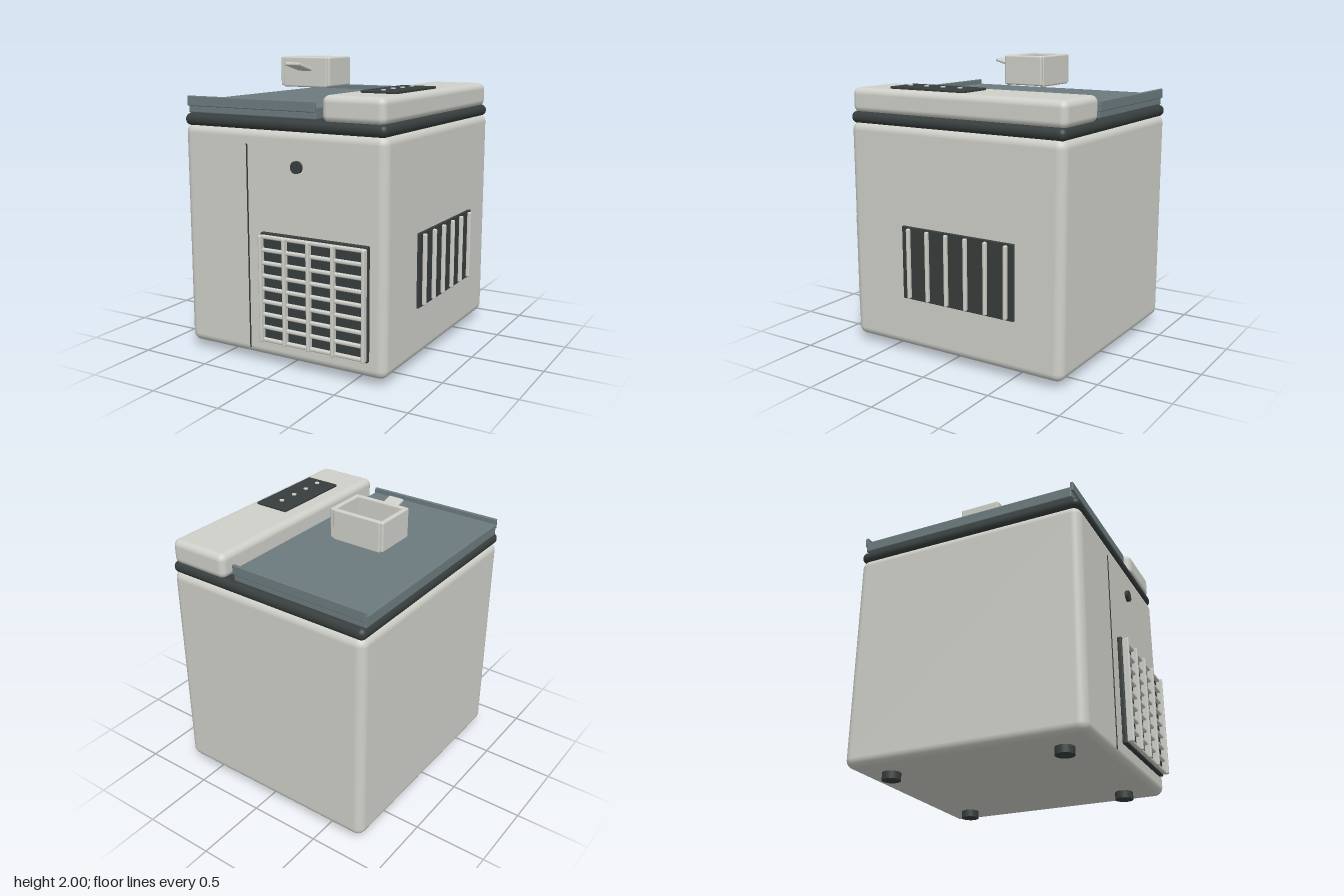
import * as THREE from 'three';
import { RoundedBoxGeometry } from 'three/addons/geometries/RoundedBoxGeometry.js';

const material = (name, color) => {
  const m = new THREE.MeshStandardMaterial({ color });
  m.name = name;
  return m;
};

export function createModel() {
  const shell = material('warm light grey', 0xd0d0ca);
  const dark = material('charcoal', 0x373e3d);
  const slate = material('slate', 0x6c7b7e);

  const model = new THREE.Group();
  model.name = 'iceMaker';
  const group = (name) => {
    const g = new THREE.Group();
    g.name = name;
    model.add(g);
    return g;
  };
  const add = (parent, name, geometry, mat) => {
    const mesh = new THREE.Mesh(geometry, mat);
    mesh.name = name;
    parent.add(mesh);
    return mesh;
  };
  // Box given by its extents on each axis, with optional rounding
  const box = (parent, name, mat, [x0, x1], [y0, y1], [z0, z1], radius = 0, segments = 3) => {
    const size = [x1 - x0, y1 - y0, z1 - z0];
    const geometry = radius
      ? new RoundedBoxGeometry(...size, segments, radius)
      : new THREE.BoxGeometry(...size);
    const mesh = add(parent, name, geometry, mat);
    mesh.position.set((x0 + x1) / 2, (y0 + y1) / 2, (z0 + z1) / 2);
    return mesh;
  };
  const around = (c, width) => [c - width / 2, c + width / 2];

  // Cabinet, gasket and control housing
  box(model, 'body', shell, [-0.785, 0.738], [0.05, 1.575], [-0.865, 0.79], 0.06, 5);
  box(model, 'gasket', dark, [-0.785, 0.733], [1.56, 1.642], [-0.865, 0.79], 0.04, 5);
  box(model, 'controlHousing', shell, [0.28, 0.717], [1.63, 1.8], [-0.862, 0.782], 0.045, 4);

  // Feet
  const feet = group('feet');
  for (const x of [-0.56, 0.51]) {
    for (const z of [-0.64, 0.565]) {
      const foot = add(feet, 'foot', new THREE.CylinderGeometry(0.062, 0.062, 0.06, 24), dark);
      foot.position.set(x, 0.03, z);
    }
  }

  // Lid with a raised rail along its front and back edges
  const lid = group('lid');
  box(lid, 'lidPlate', slate, [-0.78, 0.22], [1.64, 1.72], [-0.83, 0.74], 0.01, 2);
  for (const z of [-0.83, 0.742]) {
    box(lid, 'lidRail', slate, [-0.78, 0.22], [1.687, 1.755], around(z, 0.022), 0.006, 2);
  }

  // Open scoop basket resting over the lid
  const basket = group('basket');
  box(basket, 'basketFloor', shell, [-0.47, -0.1], [1.8, 1.825], [-0.22, 0.055]);
  for (const z of [-0.22, 0.052]) {
    box(basket, 'basketWall', shell, [-0.465, -0.105], [1.788, 2], around(z, 0.033), 0.012);
  }
  for (const x of [-0.47, -0.098]) {
    box(basket, 'basketSide', shell, around(x, 0.033), [1.795, 2], [-0.232, 0.066], 0.012);
  }
  const handle = add(basket, 'basketHandle', new RoundedBoxGeometry(0.112, 0.024, 0.19, 3, 0.01), shell);
  handle.position.set(-0.283, 1.934, 0.145);
  handle.rotation.x = -0.25;

  // Control panel with a row of indicators
  const controls = group('controls');
  box(controls, 'controlPanel', dark, [0.398, 0.652], [1.798, 1.816], [-0.098, 0.495], 0.005, 2);
  for (let i = 0; i < 4; i++) {
    const light = add(controls, 'indicator', new THREE.CylinderGeometry(0.016, 0.016, 0.01, 16), shell);
    light.position.set(0.525, 1.818, 0.02 + i * 0.135);
  }

  // Front seam and round sensor
  box(model, 'frontSeam', dark, around(-0.27, 0.009), [0.095, 1.47], [0.787, 0.794]);
  const sensor = add(model, 'frontSensor', new THREE.CylinderGeometry(0.04, 0.04, 0.03, 32), dark);
  sensor.rotation.x = Math.PI / 2;
  sensor.position.set(0.114, 1.346, 0.797);

  // Front grille: slats crossed by uprights
  const grille = group('frontGrille');
  box(grille, 'grillePanel', dark, [-0.156, 0.632], [0.165, 0.907], [0.788, 0.82], 0.008, 2);
  for (let i = 0; i < 9; i++) {
    box(grille, 'grilleSlat', shell, [-0.14, 0.628], around(0.189 + i * 0.0867, 0.026), [0.818, 0.846], 0.01);
  }
  for (const x of [-0.138, 0.043, 0.222, 0.4, 0.618]) {
    box(grille, 'grilleUpright', shell, around(x, 0.022), [0.175, 0.894], [0.818, 0.865], 0.009);
  }

  // Side vent with upright bars
  const vent = group('sideVent');
  box(vent, 'ventPanel', dark, [0.73, 0.754], [0.402, 0.905], [-0.53, 0.345], 0.005, 2);
  for (let i = 0; i < 6; i++) {
    box(vent, 'ventBar', shell, [0.75, 0.78], [0.412, 0.895], around(-0.477 + i * 0.1522, 0.024), 0.009);
  }

  return model;
}
